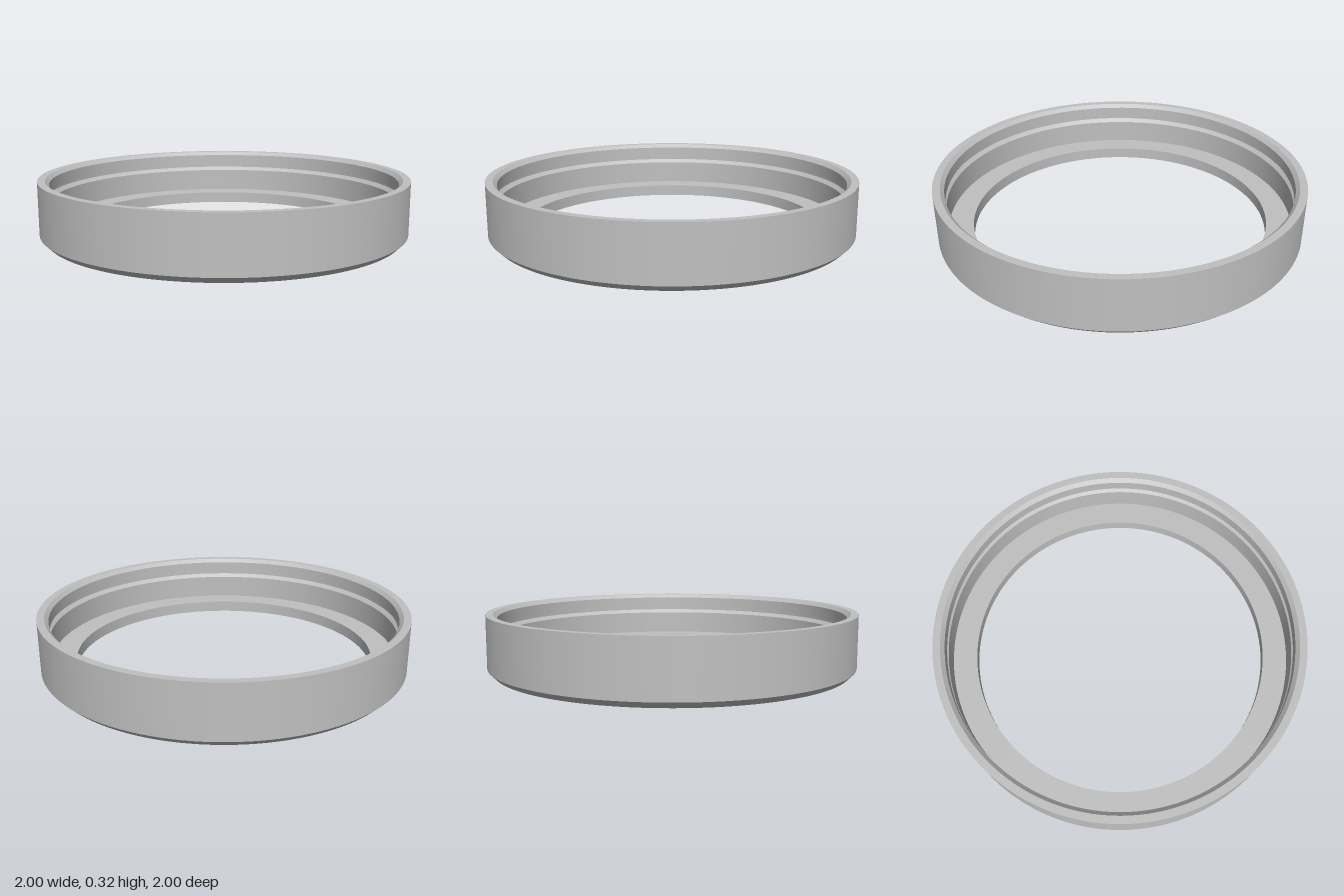
import * as THREE from 'three';
import { mergeGeometries } from 'three/addons/utils/BufferGeometryUtils.js';

const SEGMENTS = 128;

// Lathe each straight run of the profile separately, so its edges stay sharp
function sharpLathe(profile) {
  const bands = profile.slice(1).map((p, i) =>
    new THREE.LatheGeometry(
      [new THREE.Vector2(...profile[i]), new THREE.Vector2(...p)], SEGMENTS));
  return mergeGeometries(bands);
}

export function createModel() {
  const group = new THREE.Group();
  group.name = 'retainingRing';
  const grey = new THREE.MeshStandardMaterial({ color: 0xc0c0c0 });
  grey.name = 'grey';

  // Closed cross-section [radius, height]: up the outside, down the inside
  const profile = [
    [0.968, 0], [1, 0.032],        // bottom chamfer
    [1, 0.317],                    // outer wall
    [0.96, 0.317], [0.94, 0.297],  // rim and lead-in chamfer
    [0.94, 0.236], [0.96, 0.236],  // groove, flat upper side
    [0.96, 0.215], [0.94, 0.195],  // groove, sloping lower side
    [0.94, 0.064], [0.808, 0.064], // inner wall and floor
    [0.808, 0], [0.968, 0],        // opening and underside
  ];
  const ring = new THREE.Mesh(sharpLathe(profile), grey);
  ring.name = 'ringBody';
  group.add(ring);
  return group;
}
